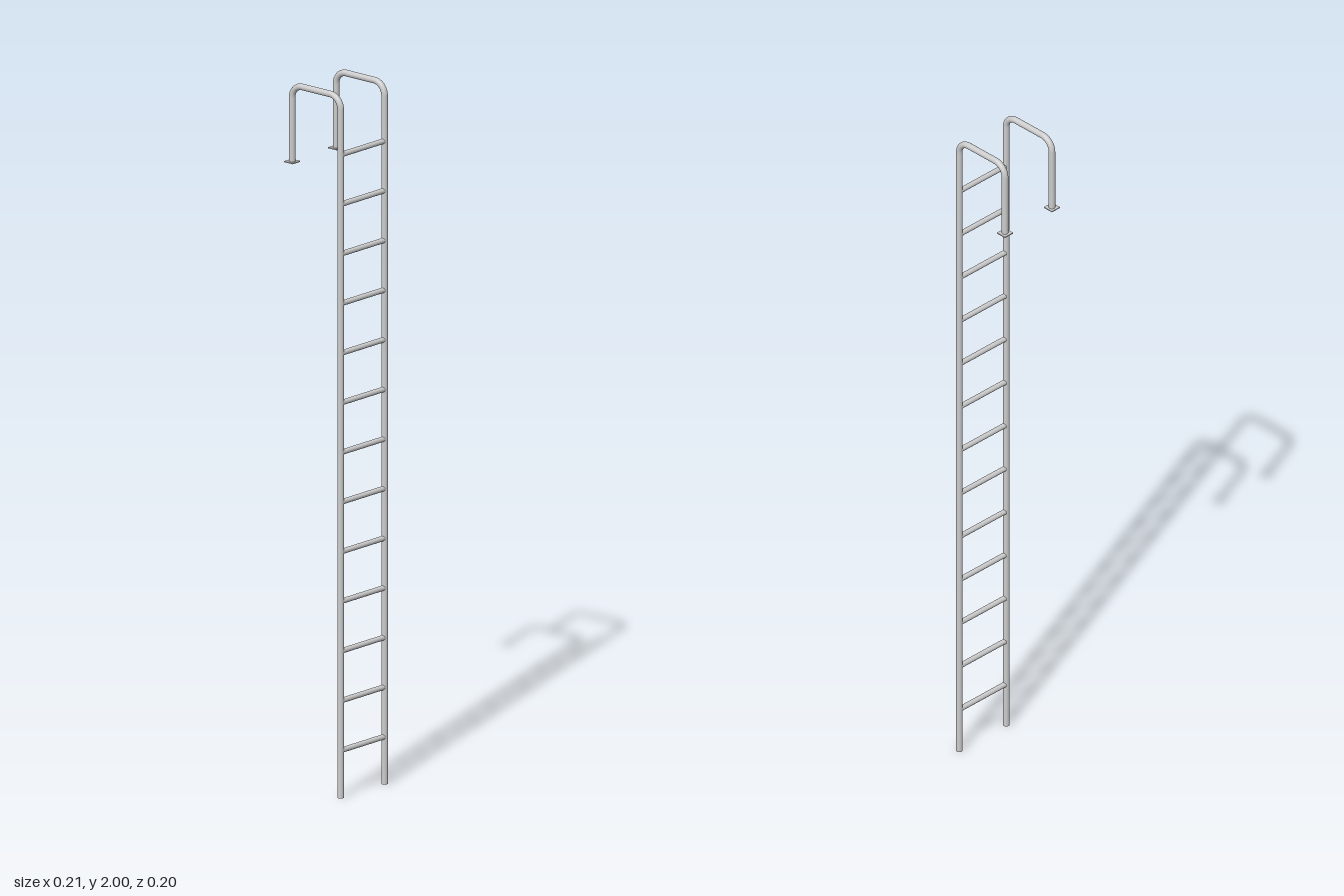
import * as THREE from 'three';

const RAIL_X = 0.09, FRONT_Z = 0.0915, BACK_Z = -0.0855;
const TUBE_R = 0.009, RUNG_R = 0.0075, BEND_R = 0.037;
const TOP_Y = 2 - TUBE_R, PLATE_Y = 1.772, PLATE_SIZE = 0.031, PLATE_H = 0.003;

const material = new THREE.MeshStandardMaterial({ color: 0xcccccc });

function addMesh(parent, name, geometry, x, y, z) {
  const mesh = new THREE.Mesh(geometry, material);
  mesh.name = name;
  mesh.position.set(x, y, z);
  parent.add(mesh);
}

// Vertical tube between two heights
function addPost(parent, name, z, y0, y1) {
  const geometry = new THREE.CylinderGeometry(TUBE_R, TUBE_R, y1 - y0, 24);
  addMesh(parent, name, geometry, 0, (y0 + y1) / 2, z);
}

// Quarter bend in the yz plane, starting at the given angle from +z
function addBend(parent, name, z, startAngle) {
  const geometry = new THREE.TorusGeometry(BEND_R, TUBE_R, 24, 16, Math.PI / 2);
  geometry.rotateZ(startAngle);
  geometry.rotateY(-Math.PI / 2);
  addMesh(parent, name, geometry, 0, TOP_Y - BEND_R, z);
}

// Side rail: long upright, hooked handrail and foot plate
function createRail(name, x) {
  const rail = new THREE.Group();
  rail.name = name;
  rail.position.x = x;

  const bendY = TOP_Y - BEND_R;
  const z0 = BACK_Z + BEND_R, z1 = FRONT_Z - BEND_R;
  addPost(rail, 'upright', FRONT_Z, 0, bendY);
  addBend(rail, 'frontBend', z1, 0);
  const bar = new THREE.CylinderGeometry(TUBE_R, TUBE_R, z1 - z0, 24).rotateX(Math.PI / 2);
  addMesh(rail, 'topBar', bar, 0, TOP_Y, (z0 + z1) / 2);
  addBend(rail, 'backBend', z0, Math.PI / 2);
  addPost(rail, 'hookPost', BACK_Z, PLATE_Y, bendY);
  addMesh(rail, 'footPlate', new THREE.BoxGeometry(PLATE_SIZE, PLATE_H, PLATE_SIZE),
    0, PLATE_Y, BACK_Z);
  return rail;
}

export function createModel() {
  const model = new THREE.Group();
  model.name = 'ladder';
  model.add(createRail('leftRail', RAIL_X), createRail('rightRail', -RAIL_X));

  // Evenly spaced rungs
  const rungs = new THREE.Group();
  rungs.name = 'rungs';
  const rung = new THREE.CylinderGeometry(RUNG_R, RUNG_R, RAIL_X * 2, 20).rotateZ(Math.PI / 2);
  for (let i = 0; i < 13; i++) {
    addMesh(rungs, 'rung', rung, 0, 0.134 + i * 0.141, FRONT_Z);
  }
  model.add(rungs);
  return model;
}
